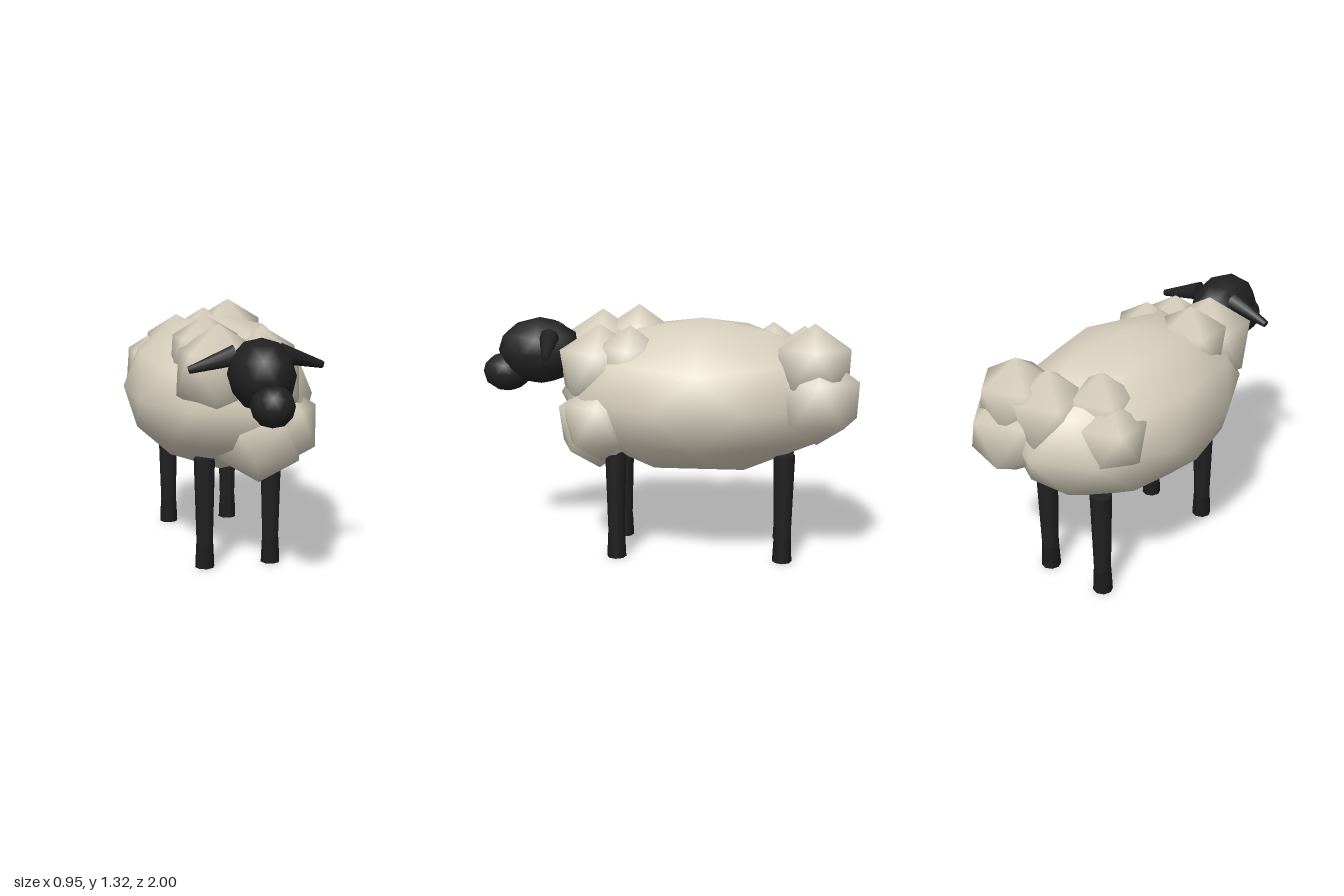
import * as THREE from 'three';

const mat = (name, color) => {
  const m = new THREE.MeshStandardMaterial({ color });
  m.name = name;
  return m;
};

// Icosphere with a vertex pointing straight up and sphere-smooth normals
function icosphere(detail) {
  const g = new THREE.IcosahedronGeometry(1, detail);
  g.rotateZ(-Math.atan(2 / (1 + Math.sqrt(5))));
  const p = g.attributes.position;
  g.setAttribute('normal', new THREE.Float32BufferAttribute(Array.from(p.array), 3));
  return g;
}

export function createModel() {
  const wool = mat('wool', 0xd8d0be);
  const skin = mat('dark skin', 0x212121);
  const hoof = mat('hoof', 0x1c1c1c);
  const sheep = new THREE.Group();
  sheep.name = 'sheep';

  const fine = icosphere(1);
  const coarse = icosphere(0);

  const add = (name, geometry, material, position, scale = [1, 1, 1], parent = sheep) => {
    const mesh = new THREE.Mesh(geometry, material);
    mesh.name = name;
    mesh.position.set(...position);
    mesh.scale.set(...scale);
    parent.add(mesh);
    return mesh;
  };

  // Fleece body
  add('body', fine, wool, [0, 0.865, -0.185], [0.5, 0.415, 0.76]);

  // Wool tufts: x, y, z, radius
  const tufts = new THREE.Group();
  tufts.name = 'woolTufts';
  sheep.add(tufts);
  [
    // rump
    [0.22, 1.08, -0.77, 0.215],
    [0.235, 0.905, -0.793, 0.243],
    [0.06, 1.03, -0.72, 0.225],
    // back and flanks
    [-0.14, 1.04, -0.56, 0.2],
    [-0.25, 0.95, -0.62, 0.19],
    [0.265, 0.95, -0.1, 0.2],
    // neck
    [-0.15, 1.12, 0.165, 0.205],
    [-0.13, 1.055, 0.36, 0.245],
    [0.085, 1.015, 0.35, 0.24],
    [0.15, 1.06, 0.18, 0.2],
    // chest
    [0.085, 0.71, 0.36, 0.242],
    [0.2, 0.76, 0.33, 0.222],
  ].forEach(([x, y, z, r], i) => add(`tuft${i + 1}`, coarse, wool, [x, y, z], [r, r, r], tufts));

  // Head and muzzle
  add('head', fine, skin, [0, 1.09, 0.685], [0.163, 0.18, 0.228]);
  add('muzzle', fine, skin, [0, 0.972, 0.868], [0.107, 0.107, 0.132]);

  // Ears, tapering outwards and drooping slightly
  for (const side of [-1, 1]) {
    const base = new THREE.Vector3(side * 0.11, 1.18, 0.615);
    const tip = new THREE.Vector3(side * 0.34, 1.112, 0.597);
    const dir = tip.clone().sub(base);
    const ear = add(side > 0 ? 'leftEar' : 'rightEar',
      new THREE.CylinderGeometry(0.018, 0.052, dir.length(), 8), skin,
      base.clone().add(tip).multiplyScalar(0.5).toArray());
    ear.quaternion.setFromUnitVectors(new THREE.Vector3(0, 1, 0), dir.normalize());
  }

  // Legs with hooves
  const legGeometry = new THREE.CylinderGeometry(0.057, 0.044, 0.47, 8);
  const hoofGeometry = new THREE.CylinderGeometry(0.046, 0.052, 0.13, 8);
  for (const [end, z] of [['front', 0.26], ['rear', -0.63]]) {
    for (const side of [-1, 1]) {
      const label = end + (side > 0 ? 'Left' : 'Right');
      add(label + 'Leg', legGeometry, skin, [side * 0.18, 0.355, z]);
      add(label + 'Hoof', hoofGeometry, hoof, [side * 0.18, 0.065, z]);
    }
  }
  return sheep;
}
